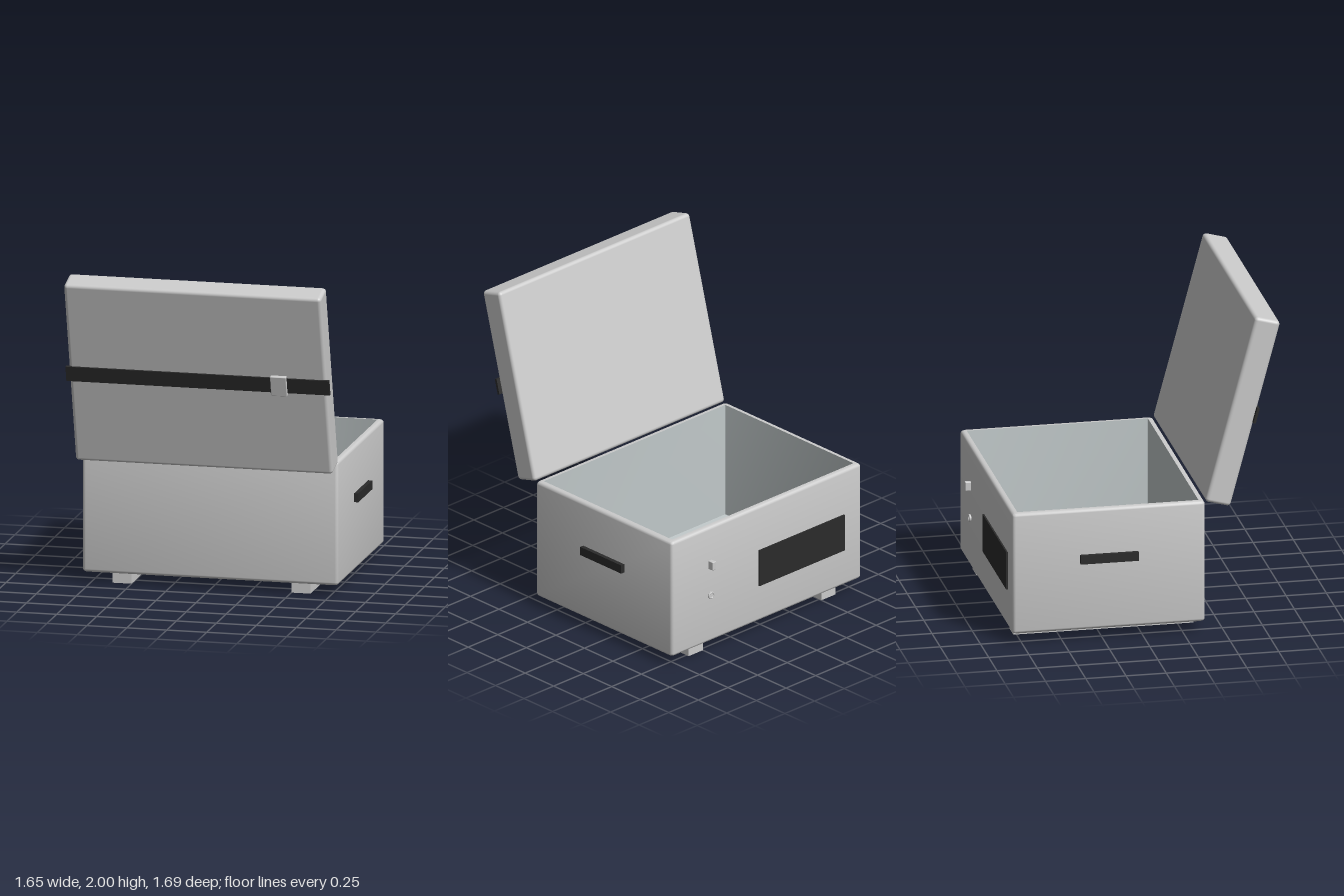
import * as THREE from 'three';
import { toCreasedNormals } from 'three/addons/utils/BufferGeometryUtils.js';
import { RoundedBoxGeometry } from 'three/addons/geometries/RoundedBoxGeometry.js';

const grey = new THREE.MeshStandardMaterial({ color: 0xcccccc });
const dark = new THREE.MeshStandardMaterial({ color: 0x2b2b2b });
const lining = new THREE.MeshStandardMaterial({ color: 0xc3cbcc });

function add(parent, name, geometry, material, x = 0, y = 0, z = 0) {
  const mesh = new THREE.Mesh(geometry, material);
  mesh.name = name;
  mesh.position.set(x, y, z);
  parent.add(mesh);
  return mesh;
}

const box = (w, h, d) => new THREE.BoxGeometry(w, h, d);
const rounded = (w, h, d, r) => new RoundedBoxGeometry(w, h, d, 3, r);

// Horizontal rounded rectangle: half width, height, half depth, corner radius
function loop([hx, y, hz, r]) {
  const points = [];
  const steps = 4;
  for (let c = 0; c < 4; c++) {
    const sx = c === 0 || c === 3 ? 1 : -1;
    const sz = c < 2 ? 1 : -1;
    for (let i = 0; i <= steps; i++) {
      const a = (c + i / steps) * Math.PI / 2;
      points.push([sx * (hx - r) + r * Math.cos(a), y, sz * (hz - r) + r * Math.sin(a)]);
    }
  }
  return points;
}

// Skin through a stack of rounded rectangles
function skin(sections) {
  const loops = sections.map(loop);
  const positions = [];
  for (let k = 0; k < loops.length - 1; k++) {
    const lo = loops[k], hi = loops[k + 1], n = lo.length;
    for (let i = 0; i < n; i++) {
      const j = (i + 1) % n;
      positions.push(...lo[i], ...hi[i], ...lo[j], ...hi[i], ...hi[j], ...lo[j]);
    }
  }
  const g = new THREE.BufferGeometry();
  g.setAttribute('position', new THREE.Float32BufferAttribute(positions, 3));
  g.computeVertexNormals();
  return toCreasedNormals(g, 0.6);
}

function createBody() {
  const body = new THREE.Group();
  body.name = 'body';
  const hx = 0.8, hz = 0.5975, r = 0.02, y0 = 0.065, y1 = 0.84, zc = -0.2125;
  const ix = 0.765, iz = 0.5625, floor = 0.1;

  // Outer shell with rounded lower and upper edges, closed by the rim
  const sections = [[0, y0, 0, 0]];
  for (let i = 0; i <= 4; i++) {
    const a = i / 4 * Math.PI / 2, inset = r * (1 - Math.sin(a));
    sections.push([hx - inset, y0 + r * (1 - Math.cos(a)), hz - inset, r]);
  }
  for (let i = 0; i <= 4; i++) {
    const a = i / 4 * Math.PI / 2, inset = r * (1 - Math.cos(a));
    sections.push([hx - inset, y1 - r * (1 - Math.sin(a)), hz - inset, r]);
  }
  sections.push([ix, y1, iz, 0.004]);
  add(body, 'shell', skin(sections), grey, 0, 0, zc);

  // Inner walls and floor
  add(body, 'interior', skin([
    [ix, y1, iz, 0.004], [ix, floor, iz, 0.004], [0, floor, 0, 0],
  ]), lining, 0, 0, zc);

  // Runners under the floor and handles on both sides
  for (const s of [-1, 1]) {
    add(body, s > 0 ? 'leftRunner' : 'rightRunner', box(0.12, 0.07, 1.12), grey, s * 0.56, 0.035, -0.21);
    add(body, s > 0 ? 'leftHandle' : 'rightHandle', box(0.04, 0.055, 0.36), dark, s * 0.806, 0.5225, -0.212);
  }

  // Panel, catch and round lock on the opening side
  add(body, 'panel', box(0.72, 0.24, 0.02), dark, -0.29, 0.425, -0.81);
  add(body, 'catch', rounded(0.03, 0.055, 0.045, 0.004), grey, 0.475, 0.587, -0.8235);
  const lock = add(body, 'lock', new THREE.CylinderGeometry(0.022, 0.022, 0.016, 24), grey, 0.475, 0.38, -0.811);
  lock.rotation.x = Math.PI / 2;
  add(body, 'lockRing', new THREE.TorusGeometry(0.019, 0.005, 8, 24), grey, 0.475, 0.38, -0.818);
  return body;
}

function createLid() {
  // Lid leaning open past upright; local y runs along it, local +z is its outer face
  const lid = new THREE.Group();
  lid.name = 'lid';
  lid.position.set(0, 1.4, 0.62);
  lid.rotation.x = THREE.MathUtils.degToRad(15);
  add(lid, 'lidPanel', rounded(1.61, 1.21, 0.16, 0.022), grey);
  add(lid, 'strap', box(1.65, 0.098, 0.016), dark, 0, -0.002, 0.082);
  add(lid, 'buckle', rounded(0.1, 0.13, 0.026, 0.004), grey, 0.51, -0.002, 0.094);
  return lid;
}

export function createModel() {
  const model = new THREE.Group();
  model.name = 'openChest';
  model.add(createBody(), createLid());
  return model;
}
